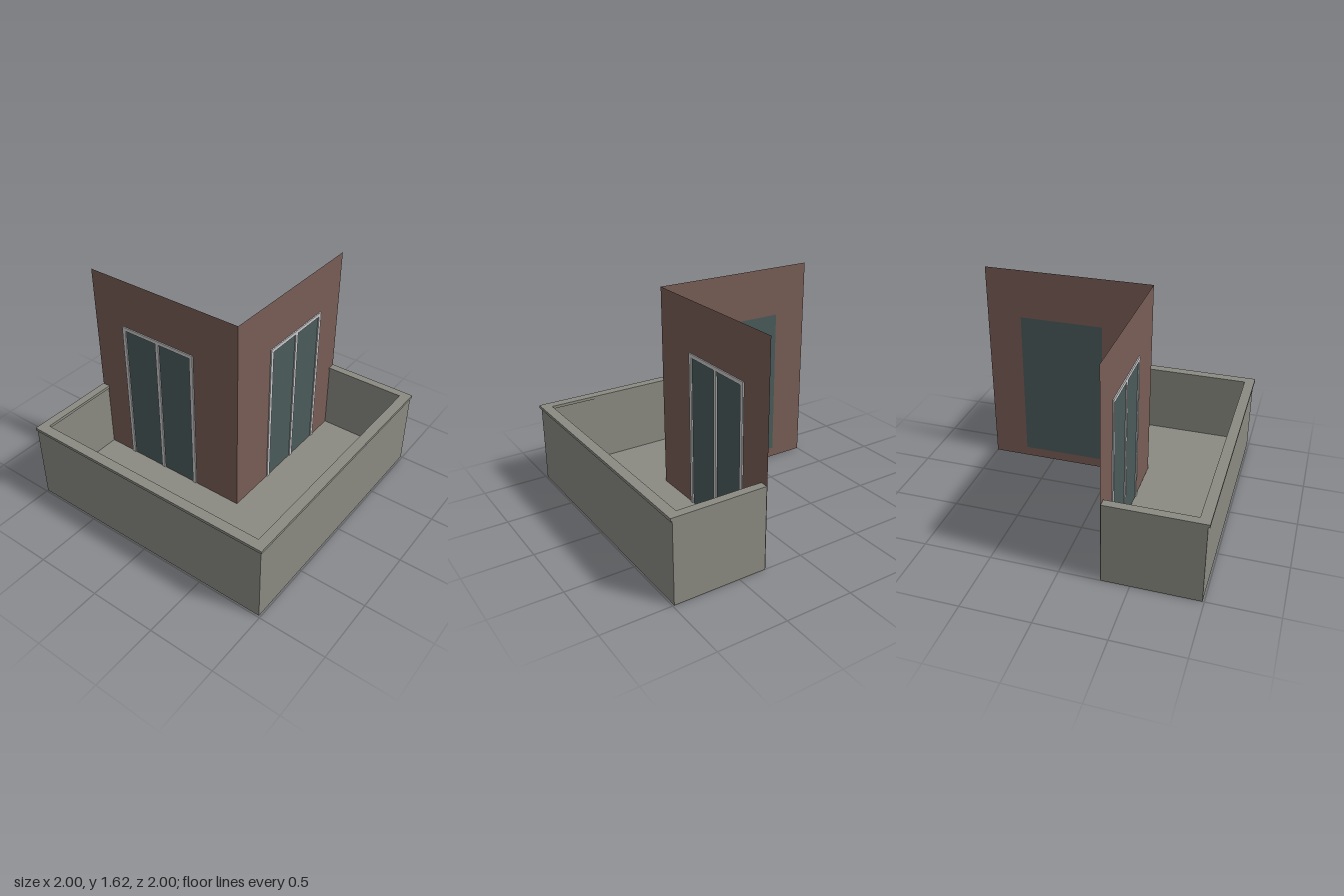
import * as THREE from 'three';

const material = (name, color, side = THREE.FrontSide) => {
  const m = new THREE.MeshStandardMaterial({ color, side });
  m.name = name;
  return m;
};

export function createModel() {
  const model = new THREE.Group();
  model.name = 'cornerBalcony';
  const concrete = material('concrete', 0x8a8a82);
  const plaster = material('plaster', 0x785d56, THREE.DoubleSide);
  const glass = material('glass', 0x4a5a5a, THREE.DoubleSide);
  const frame = material('frame', 0xc8c8cb);

  const CORNER = 0.295;          // house corner sits at x = -CORNER, z = CORNER
  const EDGE = CORNER + 0.003;   // concrete stops just short of the house walls
  const FLOOR = 0.075, WALL_TOP = 1.615;

  const add = (parent, name, geometry, mat) => {
    const mesh = new THREE.Mesh(geometry, mat);
    mesh.name = name;
    parent.add(mesh);
    return mesh;
  };

  // Extrude a plan outline of [x, z] points upwards from y0 to y1
  const plan = (points, y0, y1) => {
    const shape = new THREE.Shape(points.map(([x, z]) => new THREE.Vector2(x, -z)));
    return new THREE.ExtrudeGeometry(shape, { depth: y1 - y0, bevelEnabled: false })
      .rotateX(-Math.PI / 2).translate(0, y0, 0);
  };

  // Line running round the open sides, s = distance to the long sides, e = to the ends
  const run = (s, e) => [[-EDGE, -e], [-s, -e], [-s, s], [e, s], [e, EDGE]];
  const band = (s0, e0, s1, e1) => [...run(s0, e0), ...run(s1, e1).reverse()];

  // L-shaped floor, parapet and overhanging coping
  add(model, 'floor', plan([...run(0.936, 0.947), [-EDGE, EDGE]], 0, FLOOR), concrete);
  add(model, 'parapet', plan(band(0.988, 1, 0.936, 0.947), 0, 0.598), concrete);
  add(model, 'coping', plan(band(1, 1, 0.925, 0.938), 0.598, 0.62), concrete);

  // House wall with a glazed double door; side tells which end is the house corner
  const houseWall = (name, side) => {
    const group = new THREE.Group();
    group.name = name;
    const half = (1 + CORNER) / 2;
    const cx = 0.057 * side, w = 0.646, top = 1.237, h = top - FLOOR, bar = 0.028;
    const rect = (Type, x0, x1, y0, y1) => new Type([
      new THREE.Vector2(x0, y0), new THREE.Vector2(x1, y0),
      new THREE.Vector2(x1, y1), new THREE.Vector2(x0, y1)]);
    const shape = rect(THREE.Shape, -half, half, 0, WALL_TOP);
    shape.holes.push(rect(THREE.Path, cx - w / 2, cx + w / 2, FLOOR, top));
    add(group, 'wallPanel', new THREE.ShapeGeometry(shape), plaster);
    add(group, 'doorGlass', new THREE.PlaneGeometry(w, h), glass)
      .position.set(cx, FLOOR + h / 2, 0);
    // Side posts and middle post
    for (const k of [-1, 0, 1]) {
      add(group, 'doorPost', new THREE.BoxGeometry(bar, h, 0.009), frame)
        .position.set(cx + k * (w - bar) / 2, FLOOR + h / 2, 0.0055);
    }
    add(group, 'doorHead', new THREE.BoxGeometry(w - 2 * bar, bar, 0.009), frame)
      .position.set(cx, top - bar / 2, 0.0055);
    model.add(group);
    return group;
  };

  const mid = (1 - CORNER) / 2;
  houseWall('frontHouseWall', 1).position.set(mid, 0, CORNER);
  const sideWall = houseWall('sideHouseWall', -1);
  sideWall.position.set(-CORNER, 0, -mid);
  sideWall.rotation.y = -Math.PI / 2;

  return model;
}
